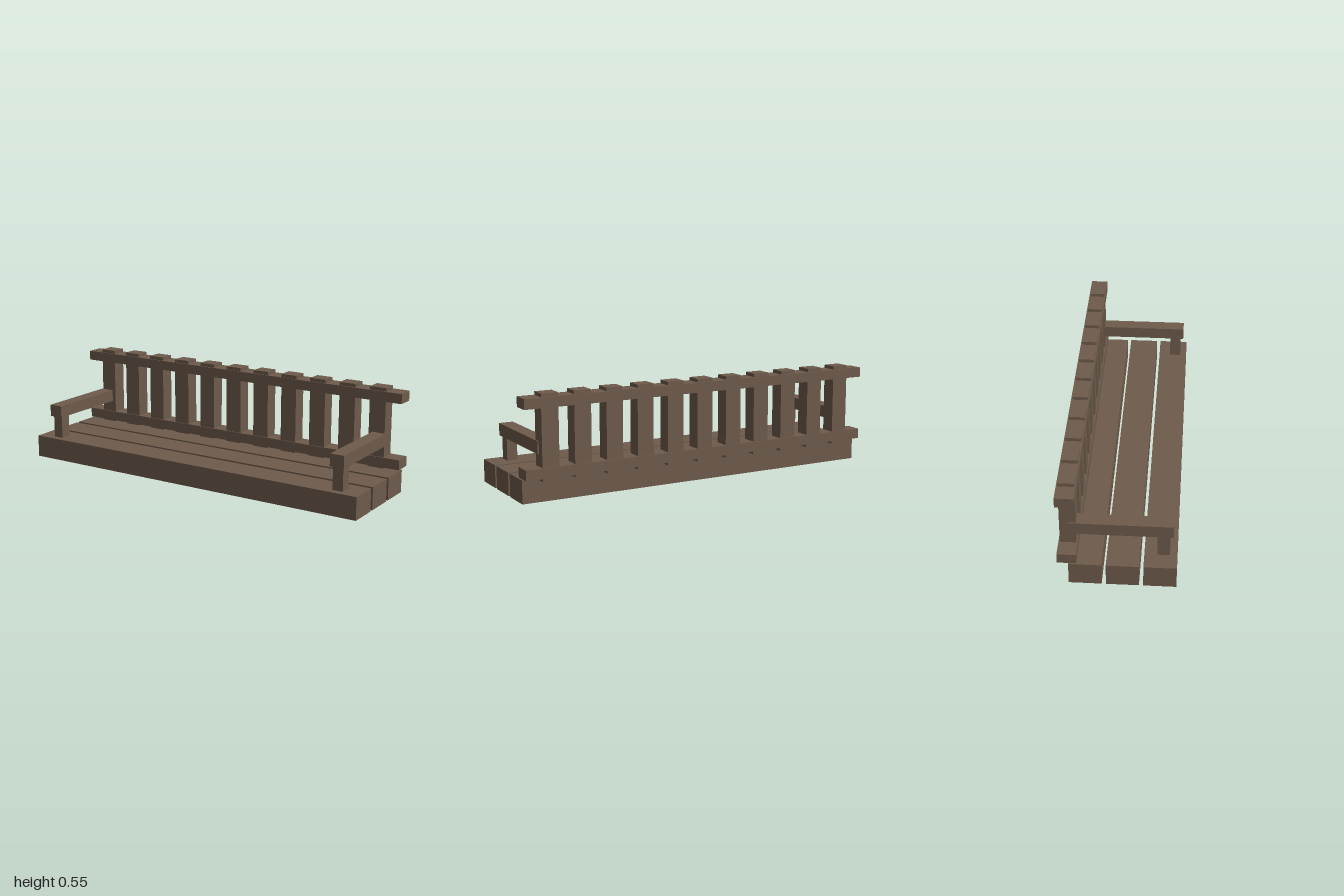
import * as THREE from 'three';

export function createModel() {
  const bench = new THREE.Group();
  bench.name = 'bench';
  const wood = new THREE.MeshStandardMaterial({ color: 0x6e5b4c });
  wood.name = 'brown wood';

  // Axis-aligned beam given by its [min, max] ranges
  function beam(name, [x0, x1], [y0, y1], [z0, z1]) {
    const mesh = new THREE.Mesh(new THREE.BoxGeometry(x1 - x0, y1 - y0, z1 - z0), wood);
    mesh.position.set((x0 + x1) / 2, (y0 + y1) / 2, (z0 + z1) / 2);
    mesh.name = name;
    bench.add(mesh);
  }

  // Three thick seat planks
  for (let i = 0; i < 3; i++) {
    const z = 0.208 - i * 0.1805;
    beam('seatPlank' + (i + 1), [-1, 1], [0, 0.12], [z - 0.08, z + 0.08]);
  }

  // Backrest rails wrapping the slats
  beam('lowerRail', [-1, 1], [0.127, 0.18], [-0.287, -0.194]);
  beam('upperRail', [-1, 1], [0.475, 0.527], [-0.287, -0.194]);

  // Eleven upright backrest slats
  for (let i = 0; i < 11; i++) {
    const x = (i - 5) * 0.1732;
    beam('backSlat' + (i + 1), [x - 0.045, x + 0.045], [0.111, 0.545], [-0.28, -0.2]);
  }

  // Armrests with their front posts
  for (const [side, s] of [['left', 1], ['right', -1]]) {
    const x = s * 0.88;
    beam(side + 'Armrest', [x - 0.038, x + 0.038], [0.242, 0.307], [-0.24, 0.268]);
    beam(side + 'ArmPost', [x - 0.028, x + 0.028], [0.12, 0.242], [0.191, 0.252]);
  }

  return bench;
}
